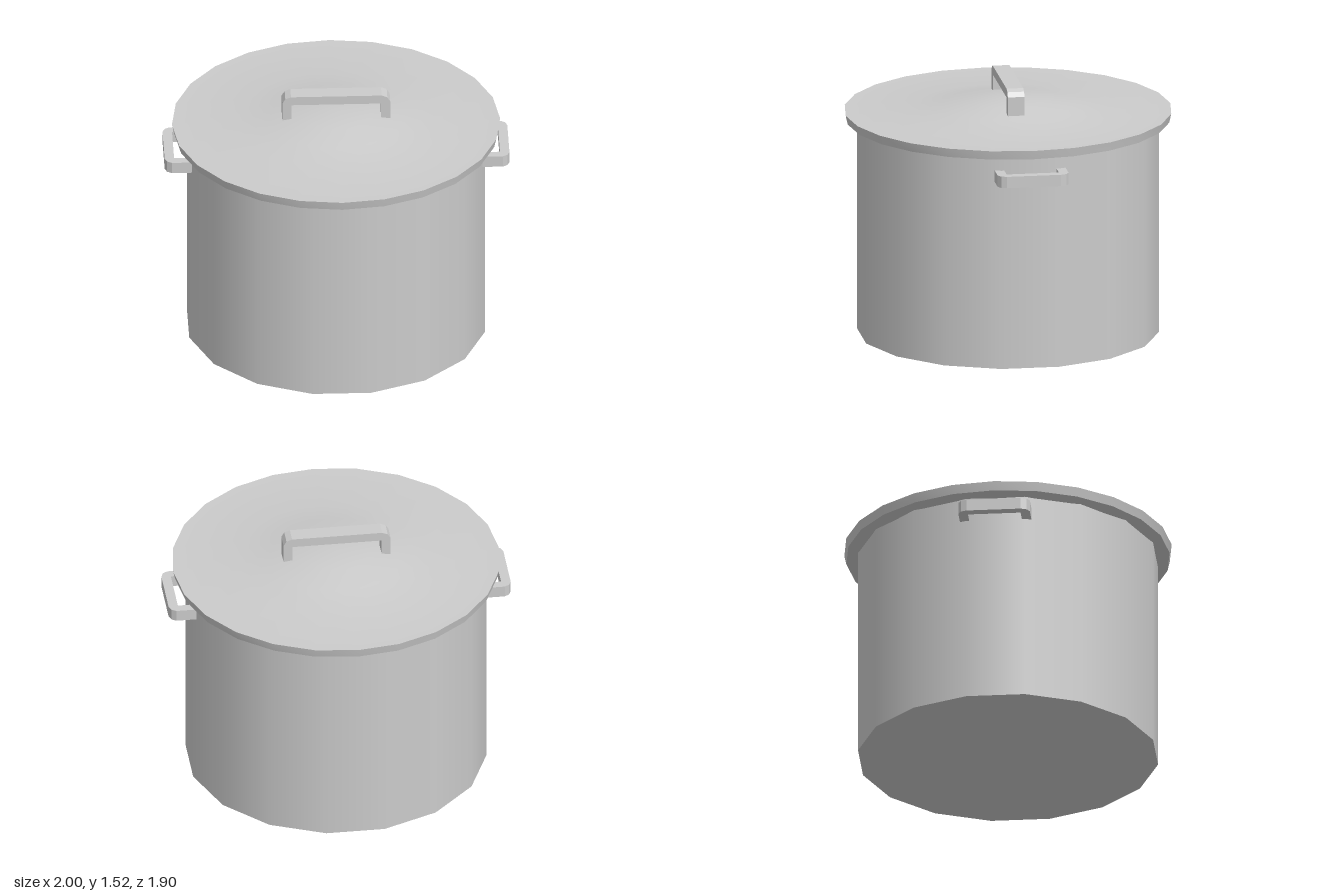
import * as THREE from 'three';
import { toCreasedNormals } from 'three/addons/utils/BufferGeometryUtils.js';

const material = new THREE.MeshStandardMaterial({ color: 0xcccccc });

function addMesh(parent, name, geometry) {
  const mesh = new THREE.Mesh(geometry, material);
  mesh.name = name;
  parent.add(mesh);
  return mesh;
}

// U-shaped bar with rounded outer corners: legs start at y = 0, crossbar on top
function handleGeometry(halfWidth, height, bar, depth) {
  const outer = [[0, 0], [0, -0.04], [0.017, -0.013], [0.05, 0]];
  const inner = halfWidth - bar;
  const points = [
    [-halfWidth, 0],
    ...outer.slice(1).map(([dx, dy]) => [-halfWidth + dx, height + dy]),
    ...outer.slice(1).reverse().map(([dx, dy]) => [halfWidth - dx, height + dy]),
    [halfWidth, 0], [inner, 0],
    [inner, height - bar], [-inner, height - bar], [-inner, 0],
  ].map(([x, y]) => new THREE.Vector2(x, y));
  const geometry = new THREE.ExtrudeGeometry(new THREE.Shape(points), { depth, bevelEnabled: false });
  return geometry.translate(0, 0, -depth / 2);
}

export function createModel() {
  const group = new THREE.Group();
  group.name = 'cookingPot';

  // Pot body
  const body = new THREE.CylinderGeometry(0.875, 0.875, 1.28, 16);
  body.rotateY(Math.PI / 16).translate(0, 0.64, 0);
  addMesh(group, 'potBody', body);

  // Domed lid with a thick flared rim, profile from underside to peak
  const profile = [
    [0, 1.255], [0.85, 1.257], [0.94, 1.272], [0.952, 1.325],
    [0.57, 1.326], [0.38, 1.358], [0.2, 1.386], [0, 1.404],
  ].map(([r, y]) => new THREE.Vector2(r, y));
  addMesh(group, 'lid', toCreasedNormals(new THREE.LatheGeometry(profile, 24), 0.5));

  // Lid handle
  const lidHandle = addMesh(group, 'lidHandle', handleGeometry(0.313, 0.17, 0.053, 0.098));
  lidHandle.position.y = 1.35;

  // Side handles, laid flat and pointing outwards
  for (const side of [1, -1]) {
    const geometry = handleGeometry(0.208, 0.165, 0.055, 0.068);
    geometry.rotateZ(-Math.PI / 2).rotateX(Math.PI / 2);
    geometry.translate(0.835, 1.155, 0);
    if (side < 0) geometry.rotateY(Math.PI);
    addMesh(group, side > 0 ? 'leftHandle' : 'rightHandle', geometry);
  }

  return group;
}
